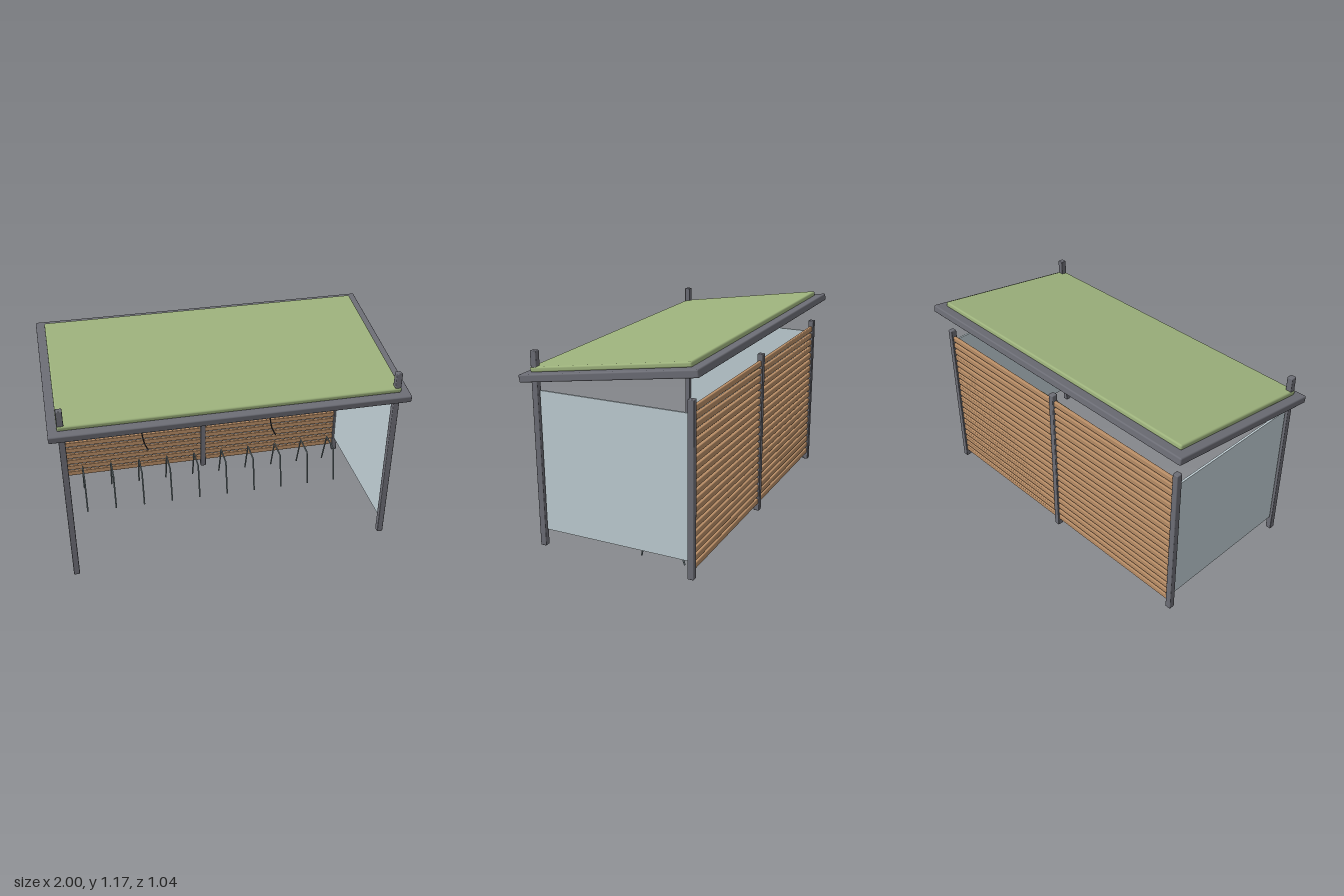
import * as THREE from 'three';
import { RoundedBoxGeometry } from 'three/addons/geometries/RoundedBoxGeometry.js';

const mat = (name, color) => {
  const m = new THREE.MeshStandardMaterial({ color });
  m.name = name;
  return m;
};

export function createModel() {
  const frameGrey = mat('frame grey', 0x6c6d75);
  const roofGreen = mat('roof green', 0x9db27c);
  const wood = mat('slat wood', 0xb88d66);
  const glass = mat('pale glass', 0xc0ced4);
  const steel = mat('rack steel', 0x78868a);
  const cableDark = mat('cable dark', 0x35363a);

  const model = new THREE.Group();
  model.name = 'bikeShelter';

  const add = (name, geometry, material, x = 0, y = 0, z = 0, parent = model) => {
    const mesh = new THREE.Mesh(geometry, material);
    mesh.name = name;
    mesh.position.set(x, y, z);
    parent.add(mesh);
    return mesh;
  };
  const rounded = (w, h, d, r) => new RoundedBoxGeometry(w, h, d, 2, r);

  // Posts: tall at the front, short along the back
  const post = (name, x, z, h) =>
    add(name, rounded(0.035, h, 0.036, 0.005), frameGrey, x, h / 2, z);
  for (const s of [-1, 1]) {
    post('frontPost', s * 0.93, 0.455, 1.12);
    post('backPost', s * 0.93, -0.45, 0.98);
  }
  post('middleBackPost', 0, -0.45, 0.98);

  // Sloping roof: grey tray with a green planted layer on top
  const roof = new THREE.Group();
  roof.name = 'roof';
  roof.position.set(0, 1.053, 0);
  roof.rotation.x = Math.atan(0.152);
  model.add(roof);
  add('roofTray', rounded(2, 0.043, 1.043, 0.008), frameGrey, 0, 0, 0, roof);
  add('greenLayer', rounded(1.9, 0.03, 0.945, 0.01), roofGreen, 0, 0.034, 0.005, roof);

  // Back wall of horizontal slats
  const slatGeometry = rounded(1.83, 0.033, 0.02, 0.005);
  for (let i = 0; i < 20; i++) add('slat', slatGeometry, wood, 0, 0.063 + i * 0.0453, -0.45);

  // Glazed side walls
  for (const s of [-1, 1])
    add('sidePanel', new THREE.BoxGeometry(0.012, 0.805, 0.858), glass, s * 0.93, 0.503, 0.001);

  // Sign plate under the roof
  add('signPlate', new THREE.BoxGeometry(0.24, 0.086, 0.009), roofGreen, 0, 0.887, -0.4365);

  // Charging boxes, each with a green slot and a hanging cable
  for (const x of [-0.43, 0.43]) {
    const charger = new THREE.Group();
    charger.name = 'charger';
    charger.position.set(x, 0, 0);
    model.add(charger);
    add('chargerBox', rounded(0.138, 0.186, 0.04, 0.004), glass, 0, 0.552, -0.42, charger);
    add('chargerSlot', new THREE.BoxGeometry(0.092, 0.017, 0.006), roofGreen, 0, 0.612, -0.399, charger);
    const cable = new THREE.CatmullRomCurve3([
      new THREE.Vector3(0.002, 0.485, -0.402),
      new THREE.Vector3(0.012, 0.39, -0.385),
      new THREE.Vector3(0.026, 0.29, -0.37),
      new THREE.Vector3(0.048, 0.243, -0.345),
    ]);
    add('chargerCable', new THREE.TubeGeometry(cable, 20, 0.0045, 8), cableDark, 0, 0, 0, charger);
  }

  // Bike stands: splayed legs joined by a short top bar
  const up = new THREE.Vector3(0, 1, 0);
  const rod = (parent, name, z1, y1, z2, y2) => {
    const a = new THREE.Vector3(0, y1, z1);
    const b = new THREE.Vector3(0, y2, z2);
    const dir = b.clone().sub(a);
    const mesh = add(name, new THREE.CylinderGeometry(0.005, 0.005, dir.length(), 8), steel, 0, 0, 0, parent);
    mesh.position.copy(a).lerp(b, 0.5);
    mesh.quaternion.setFromUnitVectors(up, dir.normalize());
  };
  const joint = new THREE.SphereGeometry(0.005, 8, 6);
  for (let i = 0; i < 10; i++) {
    const stand = new THREE.Group();
    stand.name = 'bikeStand';
    stand.position.x = (i - 4.5) * 0.1815;
    model.add(stand);
    rod(stand, 'standFrontLeg', -0.095, 0.002, -0.14, 0.22);
    rod(stand, 'standTopBar', -0.14, 0.22, -0.285, 0.22);
    rod(stand, 'standBackLeg', -0.285, 0.22, -0.355, 0.002);
    for (const z of [-0.14, -0.285]) add('standJoint', joint, steel, 0, 0.22, z, stand);
  }

  return model;
}
